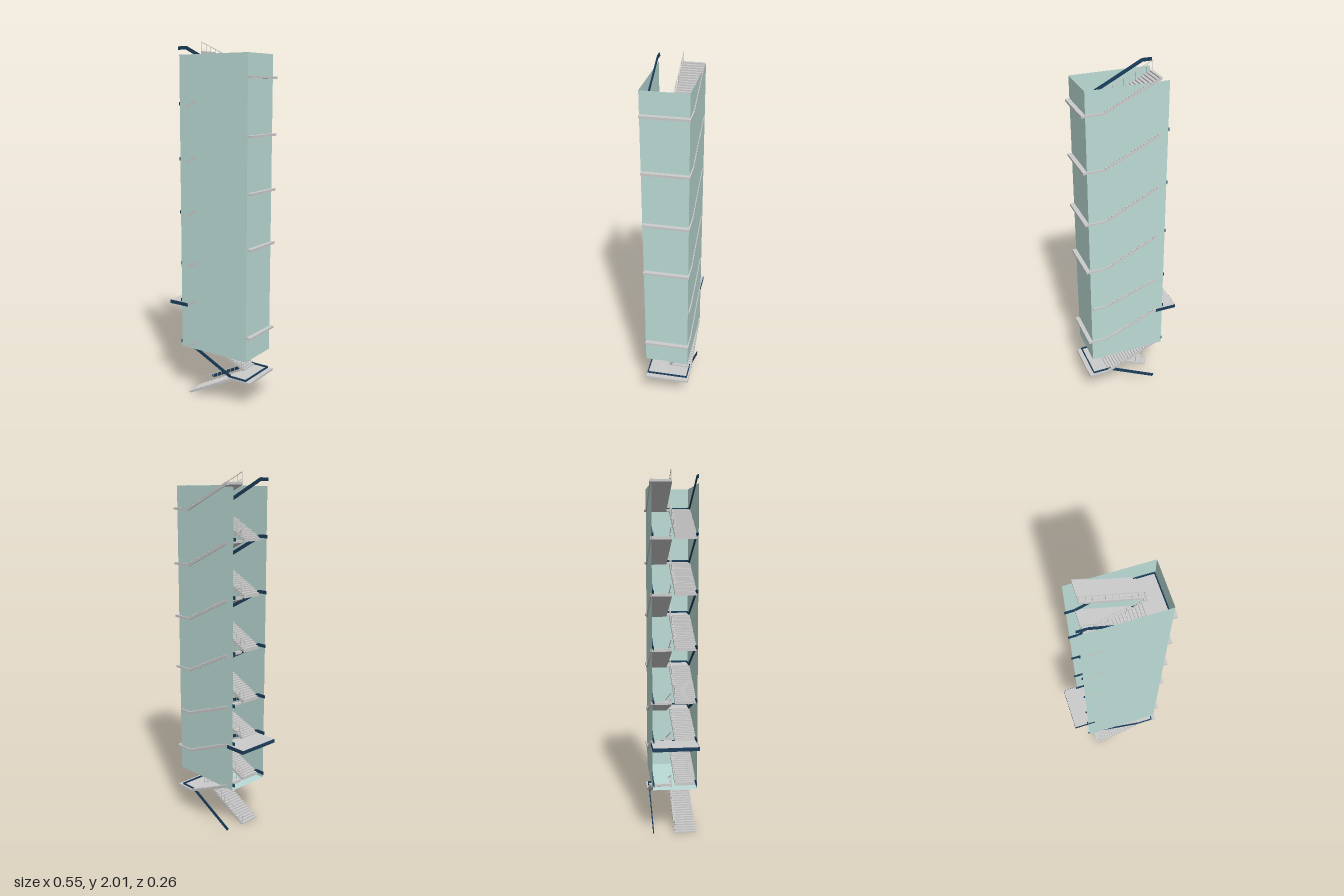
import * as THREE from 'three';

const grey = new THREE.MeshStandardMaterial({ color: 0xcccccc, flatShading: true });
const blue = new THREE.MeshStandardMaterial({ color: 0x1c3f5c, flatShading: true });
const glass = new THREE.MeshStandardMaterial({ color: 0xbcdcd6, side: THREE.DoubleSide });

const X0 = -0.145, X1 = 0.155;   // ends of every flight
const EDGE = 0.126;              // outer edge of the stairs
const STEPS = 19;

// Floor and half-landing levels from the ground up
const leftLevels = [0, 0.295, 0.545, 0.765, 1.06, 1.36, 1.66, 1.955];
const rightLevels = [0.16, 0.42, 0.655, 0.915, 1.215, 1.515, 1.815];

function box(parent, name, x0, x1, y0, y1, z0, z1, mat = grey) {
  const m = new THREE.Mesh(new THREE.BoxGeometry(x1 - x0, y1 - y0, z1 - z0), mat);
  m.position.set((x0 + x1) / 2, (y0 + y1) / 2, (z0 + z1) / 2);
  m.name = name;
  parent.add(m);
}

// Rectangular bar between two points
function bar(parent, name, a, b, height, width, mat) {
  const p = new THREE.Vector3(...a), q = new THREE.Vector3(...b);
  const m = new THREE.Mesh(new THREE.BoxGeometry(width, height, p.distanceTo(q)), mat);
  m.position.copy(p).lerp(q, 0.5);
  m.lookAt(q);
  m.name = name;
  parent.add(m);
}

// Sawtooth flight rising from (xa, ya) to (xb, yb) between depths z0 and z1
function flight(parent, name, xa, ya, xb, yb, z0, z1) {
  const s = new THREE.Shape();
  const dx = (xb - xa) / STEPS, dy = (yb - ya) / STEPS;
  s.moveTo(xa, Math.max(0, ya - 0.012));
  for (let i = 0; i < STEPS; i++) {
    s.lineTo(xa + dx * i, ya + dy * (i + 1));
    s.lineTo(xa + dx * (i + 1), ya + dy * (i + 1));
  }
  s.lineTo(xb, yb - 0.014);
  if (ya === 0) s.lineTo(xa + dx, 0);
  const g = new THREE.ExtrudeGeometry(s, { depth: z1 - z0, bevelEnabled: false });
  g.translate(0, 0, z0);
  const m = new THREE.Mesh(g, grey);
  m.name = name;
  parent.add(m);
}

// Handrail, lower rail and balusters along the inner edge of a flight
function railing(parent, yl, yr, z) {
  const g = new THREE.Group();
  g.name = 'railing';
  const xr = X1 + 0.008, h = 0.05;
  bar(g, 'handrail', [X0, yl + h, z], [xr, yr + h, z], 0.003, 0.003, grey);
  bar(g, 'lowerRail', [X0, yl + 0.015, z], [xr, yr + 0.015, z], 0.0015, 0.0015, grey);
  for (let i = 0; i <= 10; i++) {
    const t = i / 10, x = X0 + 0.002 + (xr - X0 - 0.003) * t, y = yl + (yr - yl) * t;
    box(g, 'baluster', x - 0.001, x + 0.001, y, y + h, z - 0.001, z + 0.001);
  }
  parent.add(g);
}

// Bent side beam: level at the floor, sloping, level along the half landing
function sideBeam(parent, yl, yr, z, atGround) {
  const d = 0.012, a = [X0, yl + d, z], b = [X1 - 0.01, yr + 0.006, z];
  if (!atGround) bar(parent, 'beamFloorEnd', [-0.198, yl + d, z], a, 0.018, 0.005, blue);
  bar(parent, 'beamSlope', a, b, 0.018, 0.005, blue);
  bar(parent, 'beamLandingEnd', b, [0.245, yr + 0.006, z], 0.01, 0.005, blue);
}

export function createModel() {
  const root = new THREE.Group();
  root.name = 'stairTower';

  // Shell: front, back, right and bottom; the left side and the top are open
  const shell = new THREE.Group();
  shell.name = 'glassShell';
  const panel = (name, w, h, pos, rx, ry) => {
    const m = new THREE.Mesh(new THREE.PlaneGeometry(w, h), glass);
    m.position.set(...pos);
    m.rotation.set(rx, ry, 0);
    m.name = name;
    shell.add(m);
  };
  const zf = 0.1265, zb = -0.12, zc = (zf + zb) / 2, yb = 0.278, yt = 1.932, yc = (yb + yt) / 2;
  panel('frontPanel', 0.44, yt - yb, [0.03, yc, zf], 0, 0);
  panel('backPanel', 0.44, yt - yb, [0.03, yc, zb], 0, Math.PI);
  panel('rightPanel', zf - zb, yt - yb, [0.25, yc, zc], 0, Math.PI / 2);
  panel('bottomPanel', 0.44, zf - zb, [0.03, yb, zc], Math.PI / 2, 0);
  root.add(shell);

  // Stairs sit at a slight angle to the shell
  const stairs = new THREE.Group();
  stairs.name = 'stairs';
  stairs.rotation.y = 0.006;
  root.add(stairs);

  rightLevels.forEach((yr, i) => {
    const low = leftLevels[i], high = leftLevels[i + 1];
    const storey = new THREE.Group();
    storey.name = 'storey';
    stairs.add(storey);

    flight(storey, 'frontFlight', X0, low, X1, yr, 0.006, EDGE);
    flight(storey, 'backFlight', X1, yr, X0, high, -EDGE, -0.009);
    const end = i === 2 ? 0.238 : 0.274;
    box(storey, 'halfLanding', X1, end, yr - 0.012, yr, -EDGE, EDGE);

    railing(storey, low, yr, 0.011);
    railing(storey, high, yr, -0.014);
    bar(storey, 'railReturn', [X1 + 0.008, yr + 0.05, 0.012], [X1 + 0.008, yr + 0.05, -0.015], 0.003, 0.003, grey);

    sideBeam(storey, low, yr, -0.114, i === 0);
    sideBeam(storey, high, yr, 0.122, false);
    const xe = Math.min(0.245, end);
    bar(storey, 'beamCross', [xe, yr + 0.006, -0.114], [xe, yr + 0.006, 0.122], 0.01, 0.005, blue);
  });

  // Projecting entrance platform with a blue rim
  const y = leftLevels[2], platform = new THREE.Group();
  platform.name = 'entrancePlatform';
  box(platform, 'slab', -0.274, X0, y - 0.012, y, -EDGE + 0.001, EDGE - 0.001);
  for (const s of [-1, 1]) {
    const z = s * (EDGE - 0.002);
    box(platform, 'sideRim', -0.275, -0.15, y - 0.022, y - 0.001, z - 0.0025, z + 0.0025, blue);
  }
  box(platform, 'endRim', -0.275, -0.27, y - 0.022, y - 0.001, -EDGE, EDGE, blue);
  stairs.add(platform);

  return root;
}
